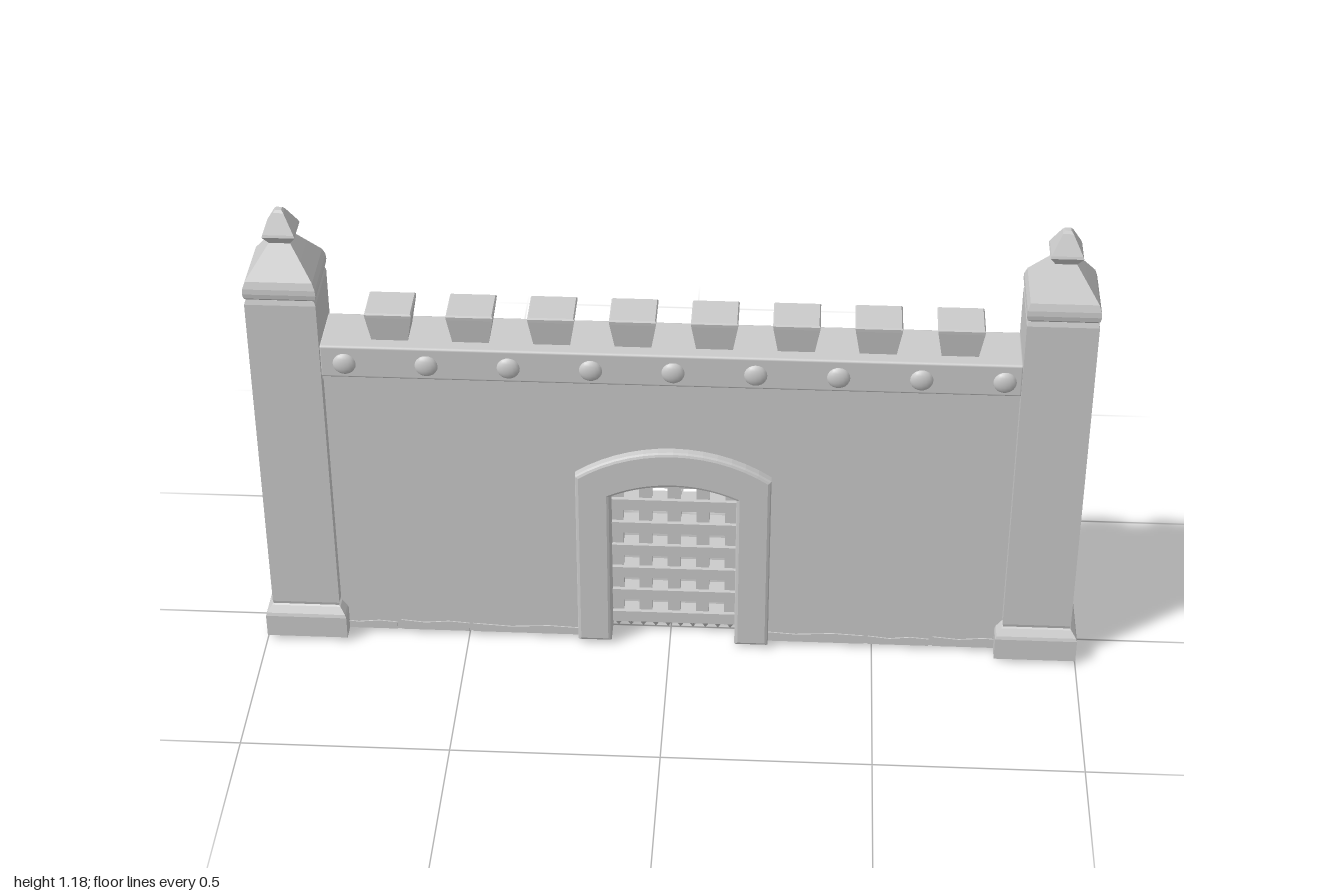
import * as THREE from 'three';
import { RoundedBoxGeometry } from 'three/addons/geometries/RoundedBoxGeometry.js';

const MID = 0.008; // the wall and gate sit slightly off centre
const mat = new THREE.MeshStandardMaterial({ color: 0xcccccc });

function add(parent, name, geometry, x = 0, y = 0, z = 0) {
  const mesh = new THREE.Mesh(geometry, mat);
  mesh.name = name;
  mesh.position.set(x, y, z);
  parent.add(mesh);
  return mesh;
}

// Square tower from [half width, height] pairs, bottom to top, with flat faces
function squareLoft(profile) {
  const pts = profile.map(([w, y]) => new THREE.Vector2(w * Math.SQRT2, y));
  pts.unshift(new THREE.Vector2(0, profile[0][1]));
  pts.push(new THREE.Vector2(0, profile[profile.length - 1][1]));
  const g = new THREE.LatheGeometry(pts, 4, Math.PI / 4).toNonIndexed();
  g.computeVertexNormals();
  return g;
}

// Points of a low arch from left foot over the top to right foot
function archPoints(half, spring, apex, foot) {
  const rise = apex - spring;
  const r = (half * half + rise * rise) / (2 * rise);
  const a = Math.asin(half / r);
  const pts = [new THREE.Vector2(-half, foot)];
  for (let i = 0; i <= 14; i++) {
    const t = -a + (2 * a * i) / 14;
    pts.push(new THREE.Vector2(r * Math.sin(t), apex - r + r * Math.cos(t)));
  }
  pts.push(new THREE.Vector2(half, foot));
  return pts;
}

// Extrusion centred on z = 0, total half depth d including the bevel
function slab(points, d, bevel = 0) {
  const g = new THREE.ExtrudeGeometry(new THREE.Shape(points), {
    depth: 2 * (d - bevel), bevelEnabled: bevel > 0, bevelThickness: bevel,
    bevelSize: bevel, bevelOffset: -bevel, bevelSegments: 2,
  });
  return g.translate(0, 0, -(d - bevel));
}

export function createModel() {
  const root = new THREE.Group();
  root.name = 'castleGateWall';

  // Corner pillars: plinth, shaft, cap and finial
  const shaft = squareLoft([[0.1, 0.01], [0.1, 0.07], [0.097, 0.078], [0.085, 0.094],
    [0.081, 0.097], [0.083, 0.105], [0.083, 0.968], [0.079, 0.98]]);
  const cap = squareLoft([[0.077, 0.978], [0.083, 0.985], [0.085, 0.997], [0.084, 1.01],
    [0.078, 1.027], [0.05, 1.066], [0.024, 1.102]]);
  const finial = squareLoft([[0.024, 1.1], [0.038, 1.122], [0.036, 1.128], [0.012, 1.173], [0.007, 1.179]]);
  for (const side of [-1, 1]) {
    const pillar = new THREE.Group();
    pillar.name = side > 0 ? 'leftPillar' : 'rightPillar';
    pillar.position.x = side * 0.9;
    add(pillar, 'pillarShaft', shaft);
    add(pillar, 'pillarCap', cap);
    add(pillar, 'pillarFinial', finial);
    root.add(pillar);
  }

  // Wall with an opening hidden behind the gate frame
  const v = (x, y) => new THREE.Vector2(x, y);
  const opening = archPoints(0.18, 0.46, 0.51, 0.01);
  add(root, 'wall', slab([v(-0.84, 0.01), ...opening, v(0.84, 0.01), v(0.84, 0.79), v(-0.84, 0.79)], 0.055), MID);

  // Worn footing stones along both sides of the wall
  const stones = [[-0.83, -0.68], [-0.67, -0.5], [-0.49, -0.22], [0.22, 0.48], [0.49, 0.64], [0.65, 0.83]];
  stones.forEach(([a, b], i) => {
    const w = b - a, h = 0.034 + 0.004 * (i % 2);
    add(root, 'footingStone', slab([v(a, 0.01), v(b, 0.01), v(b, h - 0.004),
      v(a + w * 0.7, h), v(a + w * 0.35, h - 0.006), v(a, h)], 0.058));
  });

  // Top band with studs on both faces
  add(root, 'topBand', new RoundedBoxGeometry(1.64, 0.086, 0.148, 2, 0.006), 0, 0.811, 0);
  add(root, 'bandTrim', new THREE.BoxGeometry(1.64, 0.012, 0.136), 0, 0.766, 0);
  const stud = new THREE.SphereGeometry(0.028, 16, 10);
  for (let i = 0; i < 9; i++) {
    for (const side of [-1, 1]) {
      add(root, 'stud', stud, MID + (i - 4) * 0.1925, 0.807, side * 0.072).scale.z = 0.5;
    }
  }

  // Flared merlons
  const merlon = squareLoft([[0.042, 0], [0.054, 0.072], [0.055, 0.08], [0.052, 0.084]]);
  for (let i = 0; i < 8; i++) {
    add(root, 'merlon', merlon, MID + (i - 3.5) * 0.19, 0.848, 0).scale.z = 0.92;
  }

  // Gate frame
  const gate = new THREE.Group();
  gate.name = 'gate';
  gate.position.x = MID;
  root.add(gate);
  const outer = archPoints(0.235, 0.505, 0.58, 0.01);
  const inner = archPoints(0.152, 0.447, 0.482, 0.01).reverse();
  add(gate, 'gateFrame', slab([...outer, ...inner], 0.08, 0.008));

  // Portcullis: thin uprights between thicker cross bars, spikes below
  for (let i = -2; i <= 2; i++) {
    add(gate, 'gateUpright', new THREE.BoxGeometry(0.032, 0.45, 0.022), i * 0.07, 0.245, 0);
  }
  for (let i = 0; i < 7; i++) {
    add(gate, 'gateCrossBar', new THREE.BoxGeometry(0.31, 0.031, 0.042), 0, 0.0435 + i * 0.0685, 0);
  }
  const spike = new THREE.ConeGeometry(0.014, 0.022, 4).rotateX(Math.PI);
  for (let i = 0; i < 10; i++) {
    add(gate, 'gateSpike', spike, (i - 4.5) * 0.031, 0.011, 0);
  }
  return root;
}
